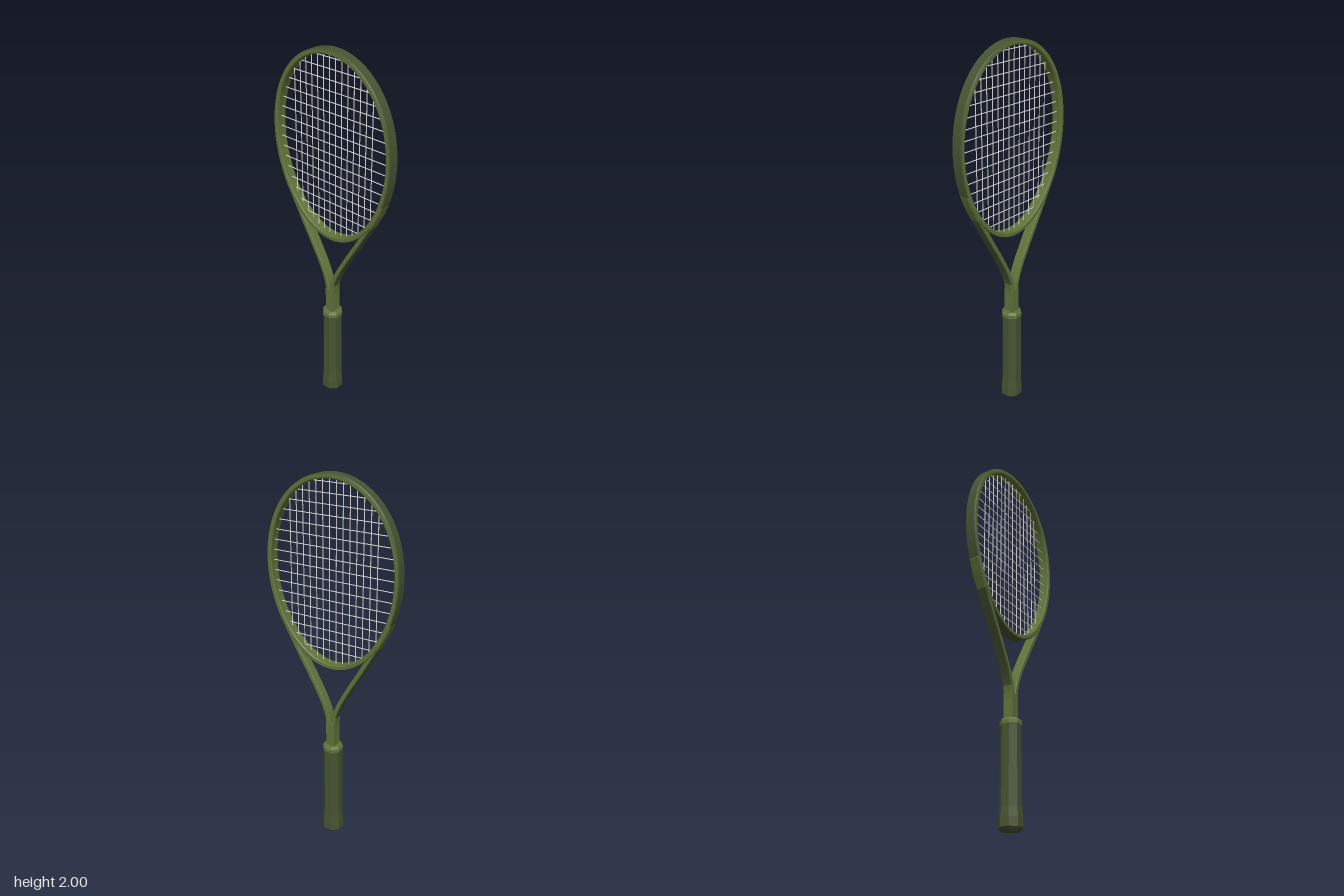
import * as THREE from 'three';

const light = new THREE.MeshStandardMaterial({ color: 0x61733a });
light.name = 'lightOlive';
const dark = new THREE.MeshStandardMaterial({ color: 0x465331 });
dark.name = 'darkOlive';
const stringWhite = new THREE.MeshStandardMaterial({ color: 0xe0e0e0 });
stringWhite.name = 'stringWhite';

// Egg-shaped head: centre line of the hoop
const HEAD_Y = 1.498, HEAD_W = 0.371, HEAD_H = 0.4885, EGG = 0.07;
const headX = (s, c) => HEAD_W * c * (1 + EGG * s);

// Heights between which the joint of hoop and arms stays light
const JOINT_LOW = 1.17, JOINT_HIGH = 1.3;

// Sweeps a chamfered rectangle along a path in the xy plane.
// Each side is its own strip: smooth along the path, sharp at the edges.
// isDark(side, y) picks the colour; sides 7, 0, 1 face the path's right, 3, 4, 5 its left.
function sweep(path, halfW, halfD, chamfer, closed, isDark) {
  const w = halfW - chamfer, d = halfD - chamfer;
  const profile = [[halfW, -d], [halfW, d], [w, halfD], [-w, halfD],
    [-halfW, d], [-halfW, -d], [-w, -halfD], [w, -halfD]];
  const n = path.length, pos = [], lists = [[], []];
  const frames = path.map((p, i) => {
    const a = closed ? path[(i + n - 1) % n] : path[Math.max(i - 1, 0)];
    const b = closed ? path[(i + 1) % n] : path[Math.min(i + 1, n - 1)];
    const t = b.clone().sub(a).normalize();
    return { p, nx: t.y, ny: -t.x };
  });
  profile.forEach((from, k) => {
    const to = profile[(k + 1) % profile.length], base = pos.length / 3;
    for (const f of frames) for (const [u, z] of [from, to]) pos.push(f.p.x + f.nx * u, f.p.y + f.ny * u, z);
    for (let i = 0; i < (closed ? n : n - 1); i++) {
      const j = (i + 1) % n, a = base + i * 2, c = base + j * 2;
      const y = (path[i].y + path[j].y) / 2;
      lists[isDark(k, y) ? 1 : 0].push(a, c, a + 1, c, c + 1, a + 1);
    }
  });
  const geo = new THREE.BufferGeometry();
  geo.setAttribute('position', new THREE.Float32BufferAttribute(pos, 3));
  geo.setIndex([...lists[0], ...lists[1]]);
  geo.addGroup(0, lists[0].length, 0);
  geo.addGroup(lists[0].length, lists[1].length, 1);
  geo.computeVertexNormals();
  return new THREE.Mesh(geo, [light, dark]);
}

// Eight-sided turned part with flat faces to the front and sides; radii are to the flats
function octagonal(name, profile, material) {
  const points = profile.map(([r, y]) => new THREE.Vector2(r / Math.cos(Math.PI / 8), y));
  const geo = new THREE.LatheGeometry(points, 8, Math.PI / 8).toNonIndexed();
  geo.computeVertexNormals();
  const mesh = new THREE.Mesh(geo, material);
  mesh.name = name;
  return mesh;
}

export function createModel() {
  const group = new THREE.Group();
  group.name = 'racket';

  // Hoop with a darker outer band, broken at the joints
  const ring = [];
  for (let i = 0; i < 96; i++) {
    const t = (i / 96) * Math.PI * 2;
    ring.push(new THREE.Vector2(headX(Math.sin(t), Math.cos(t)), HEAD_Y + HEAD_H * Math.sin(t)));
  }
  const outerSides = [7, 0, 1];
  const hoop = sweep(ring, 0.0135, 0.03, 0.005, true,
    (k, y) => outerSides.includes(k) && (y < JOINT_LOW || y > JOINT_HIGH));
  hoop.name = 'hoop';
  group.add(hoop);

  // Throat arms flow from the hoop into the shaft, with a dark band on their outer sides
  const armPoints = [[0.332, 1.3], [0.283, 1.2], [0.227, 1.1], [0.168, 1.0], [0.108, 0.9],
    [0.053, 0.8], [0.022, 0.72], [0.012, 0.65], [0.012, 0.6]];
  for (const side of [1, -1]) {
    const curve = new THREE.SplineCurve(armPoints.map(([x, y]) => new THREE.Vector2(side * x, y)));
    const bandSides = side > 0 ? [3, 4, 5] : outerSides;
    const arm = sweep(curve.getPoints(48), 0.0128, 0.027, 0.004, false,
      (k, y) => bandSides.includes(k) && y > 0.72 && y < JOINT_LOW);
    arm.name = side > 0 ? 'leftThroatArm' : 'rightThroatArm';
    group.add(arm);
  }

  // Single shaft below the fork
  const shaft = new THREE.Mesh(new THREE.BoxGeometry(0.05, 0.15, 0.055), light);
  shaft.position.y = 0.605;
  shaft.name = 'shaft';
  group.add(shaft);

  // Strings, each ending inside the hoop
  const strings = new THREE.Group();
  strings.name = 'strings';
  const addString = (name, x, y, length, upright) => {
    const mesh = new THREE.Mesh(new THREE.CylinderGeometry(0.0025, 0.0025, length, 6), stringWhite);
    mesh.position.set(x, y, 0);
    if (!upright) mesh.rotation.z = Math.PI / 2;
    mesh.name = name;
    strings.add(mesh);
  };
  for (let i = 0; i < 14; i++) {
    const x = (i - 6.5) * 0.039;
    const [top, bottom] = [1, -1].map(sign => {
      let s = sign * 0.9;
      for (let k = 0; k < 8; k++) {
        const c = x / (HEAD_W * (1 + EGG * s));
        s = sign * Math.sqrt(1 - c * c);
      }
      return HEAD_Y + HEAD_H * s;
    });
    addString('mainString', x, (top + bottom) / 2, top - bottom, true);
  }
  for (let i = 0; i < 17; i++) {
    const y = 1.09 + i * 0.0539;
    const s = (y - HEAD_Y) / HEAD_H;
    addString('crossString', 0, y, 2 * headX(s, Math.sqrt(1 - s * s)), false);
  }
  group.add(strings);

  // Handle: flared butt, grip and collar
  group.add(octagonal('butt', [[0, 0], [0.046, 0], [0.056, 0.014], [0.055, 0.06], [0.051, 0.11]], dark));
  group.add(octagonal('grip', [[0.051, 0.11], [0.049, 0.515]], dark));
  group.add(octagonal('collar', [[0.049, 0.508], [0.052, 0.515], [0.052, 0.533], [0.044, 0.546], [0, 0.546]], light));
  return group;
}
